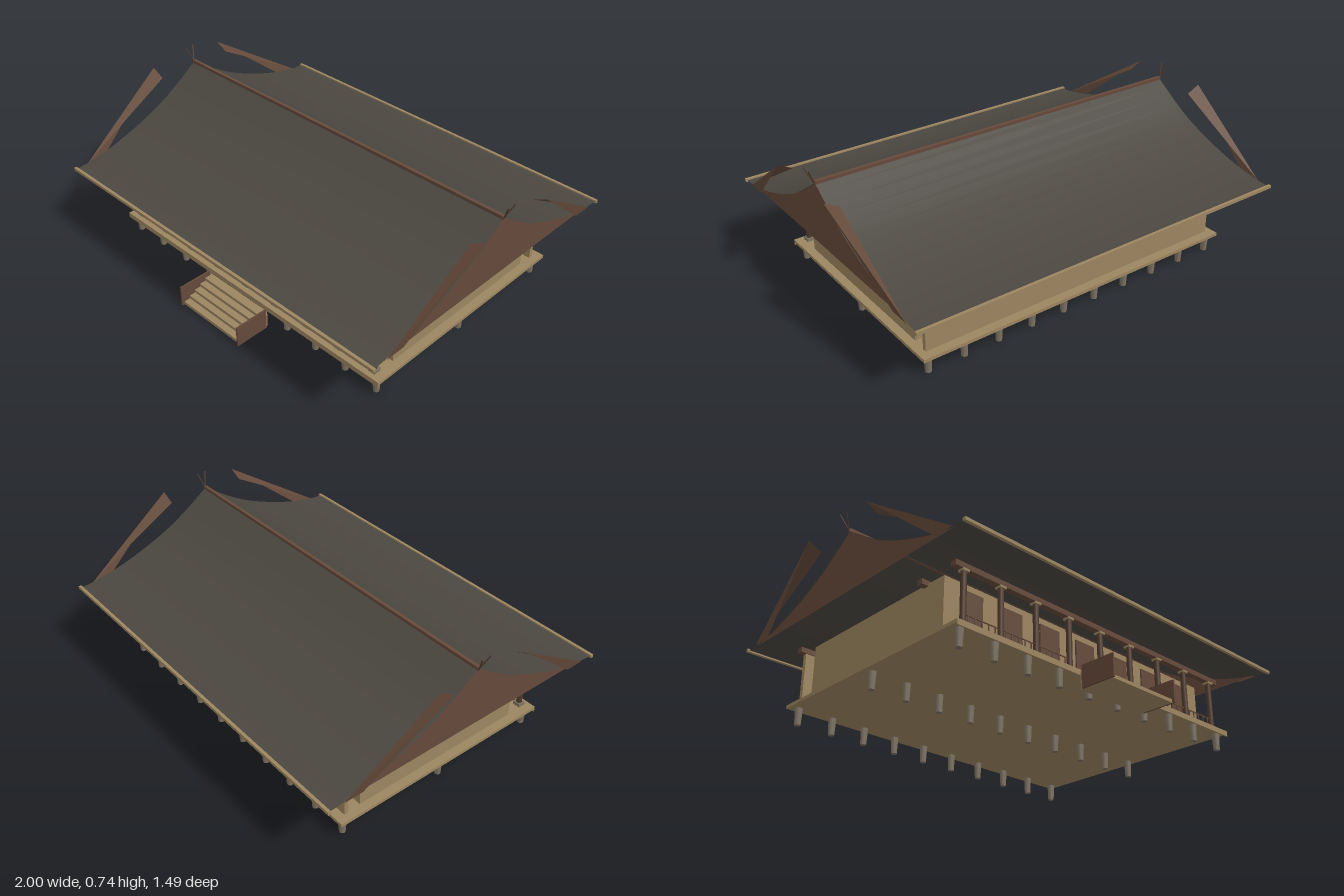
import * as THREE from 'three';

const mat = (name, color, double) => {
  const m = new THREE.MeshStandardMaterial({ color });
  m.name = name;
  if (double) m.side = THREE.DoubleSide;
  return m;
};

export function createModel() {
  const model = new THREE.Group();
  model.name = 'stiltHall';
  const roofGrey = mat('roofGrey', 0x4b4740, true);
  const brown = mat('brownWood', 0x654a3a, true);
  const darkBrown = mat('darkBrownWood', 0x503a2c);
  const tan = mat('tanWood', 0x9c8560);
  const stone = mat('greyStone', 0x7d7262);

  const add = (name, geometry, material, x = 0, y = 0, z = 0, parent = model) => {
    const mesh = new THREE.Mesh(geometry, material);
    mesh.name = name;
    mesh.position.set(x, y, z);
    parent.add(mesh);
    return mesh;
  };
  // Box given by its minimum and maximum on each axis
  const box = (name, material, x0, x1, y0, y1, z0, z1, parent) =>
    add(name, new THREE.BoxGeometry(x1 - x0, y1 - y0, z1 - z0), material,
      (x0 + x1) / 2, (y0 + y1) / 2, (z0 + z1) / 2, parent);
  const group = (name) => {
    const g = new THREE.Group();
    g.name = name;
    model.add(g);
    return g;
  };

  // Stilts: three rows of ten
  const stilts = group('stilts');
  const stiltGeo = new THREE.CylinderGeometry(0.018, 0.014, 0.08, 10);
  for (const z of [0.525, 0, -0.53])
    for (let i = 0; i < 10; i++) add('stilt', stiltGeo, stone, -0.775 + i * 0.1722, 0.04, z, stilts);

  // Platform and its front edge
  box('platform', tan, -0.815, 0.815, 0.078, 0.093, -0.568, 0.555);
  box('platformEdge', tan, -0.815, 0.815, 0.068, 0.093, 0.555, 0.562);

  // Walls
  box('hallWalls', tan, -0.775, 0.775, 0.093, 0.34, -0.44, 0.43);
  box('backWall', tan, -0.78, 0.78, 0.093, 0.332, -0.525, -0.505);

  // Door panels along the front
  const doors = group('doors');
  for (let i = -3; i <= 3; i++) {
    const x = i * 0.213;
    box('door', brown, x - 0.056, x + 0.056, 0.1, 0.31, 0.43, 0.437, doors);
  }

  // Beams under the roof
  for (const z of [0.52, 0.32, -0.515])
    box('beam', brown, -0.807, 0.807, 0.33, 0.354, z - 0.014, z + 0.014);

  // Veranda columns with footing and capital
  const columns = group('verandaColumns');
  const columnGeo = new THREE.CylinderGeometry(0.013, 0.013, 0.22, 12);
  for (let i = -4; i <= 4; i++) {
    const x = i * 0.189;
    box('columnBase', stone, x - 0.018, x + 0.018, 0.093, 0.109, 0.502, 0.538, columns);
    add('column', columnGeo, darkBrown, x, 0.215, 0.52, columns);
    box('columnCapital', tan, x - 0.016, x + 0.016, 0.322, 0.331, 0.504, 0.536, columns);
  }

  // Railings, open in the middle for the stairs
  const railings = group('railings');
  for (const side of [-1, 1])
    for (let bay = 1; bay < 4; bay++) {
      const c = side * (bay + 0.5) * 0.189;
      box('topRail', brown, c - 0.085, c + 0.085, 0.146, 0.15, 0.518, 0.522, railings);
      for (let k = -2; k <= 2; k++)
        box('baluster', brown, c + k * 0.034 - 0.002, c + k * 0.034 + 0.002, 0.093, 0.147, 0.518, 0.522, railings);
    }

  // Stairs between two side boards
  const stairs = group('stairs');
  for (let i = 0; i < 5; i++)
    box('step', tan, -0.182, 0.182, i * 0.0155, (i + 1) * 0.0155, 0.57, 0.735 - i * 0.031, stairs);
  for (const s of [-1, 1])
    box('stairSide', brown, s * 0.186 - 0.004, s * 0.186 + 0.004, 0, 0.1, 0.583, 0.747, stairs);

  // Concave roof slope, swept along x
  const slope = new THREE.SplineCurve([
    [0, 0.665], [0.1, 0.595], [0.21, 0.527], [0.33, 0.472], [0.45, 0.428], [0.56, 0.397], [0.67, 0.377], [0.735, 0.372],
  ].map(([z, y]) => new THREE.Vector2(z, y))).getPoints(16);
  for (const s of [-1, 1]) {
    const geo = new THREE.PlaneGeometry(1, 1, 1, 16);
    const p = geo.attributes.position;
    for (let i = 0; i < p.count; i++) {
      const q = slope[Math.floor(i / 2)];
      p.setXYZ(i, (i % 2 ? 1 : -1) * s * 0.937, q.y, s * q.x);
    }
    geo.computeVertexNormals();
    add(s > 0 ? 'frontRoof' : 'backRoof', geo, roofGrey);
    box('eaveBoard', tan, -0.944, 0.944, 0.365, 0.379, s * 0.735 - 0.007, s * 0.735 + 0.007);
  }
  box('ridgeCap', brown, -0.937, 0.937, 0.658, 0.674, -0.008, 0.008);

  // Gable ends filling the roof profile
  const half = slope.filter((q) => q.x < 0.675);
  const outline = [...half.slice().reverse().map((q) => new THREE.Vector2(-q.x, q.y - 0.001)),
    ...half.slice(1).map((q) => new THREE.Vector2(q.x, q.y - 0.001)),
    new THREE.Vector2(0.67, 0.375), new THREE.Vector2(-0.67, 0.375)];
  const gableGeo = new THREE.ShapeGeometry(new THREE.Shape(outline));

  // Folded wing boards: two triangles sharing the top edge
  const wing = (sx, sz) => {
    const p1 = [0.94, 0.375, 0.667], p2 = [0.94, 0.375, 0.573], q1 = [1, 0.68, 0.2], q2 = [0.935, 0.648, 0.2];
    const tris = [p1, p2, q1, p1, q1, q2].map(([x, y, z]) => [x * sx, y, z * sz]);
    if (sx * sz < 0) for (const k of [0, 3]) [tris[k + 1], tris[k + 2]] = [tris[k + 2], tris[k + 1]];
    const geo = new THREE.BufferGeometry();
    geo.setAttribute('position', new THREE.Float32BufferAttribute(tris.flat(), 3));
    geo.computeVertexNormals();
    return geo;
  };

  for (const sx of [-1, 1]) {
    add('gable', gableGeo, brown, sx * 0.93).rotation.y = sx * Math.PI / 2;
    for (const sz of [-1, 1]) {
      add('wingBoard', wing(sx, sz), brown);
      // Crossed ridge finials
      const path = new THREE.LineCurve3(new THREE.Vector3(sx * 0.935, 0.655, -sz * 0.004),
        new THREE.Vector3(sx * 0.97, 0.735, sz * 0.023));
      add('ridgeFinial', new THREE.TubeGeometry(path, 1, 0.003, 6), darkBrown);
    }
  }
  return model;
}
